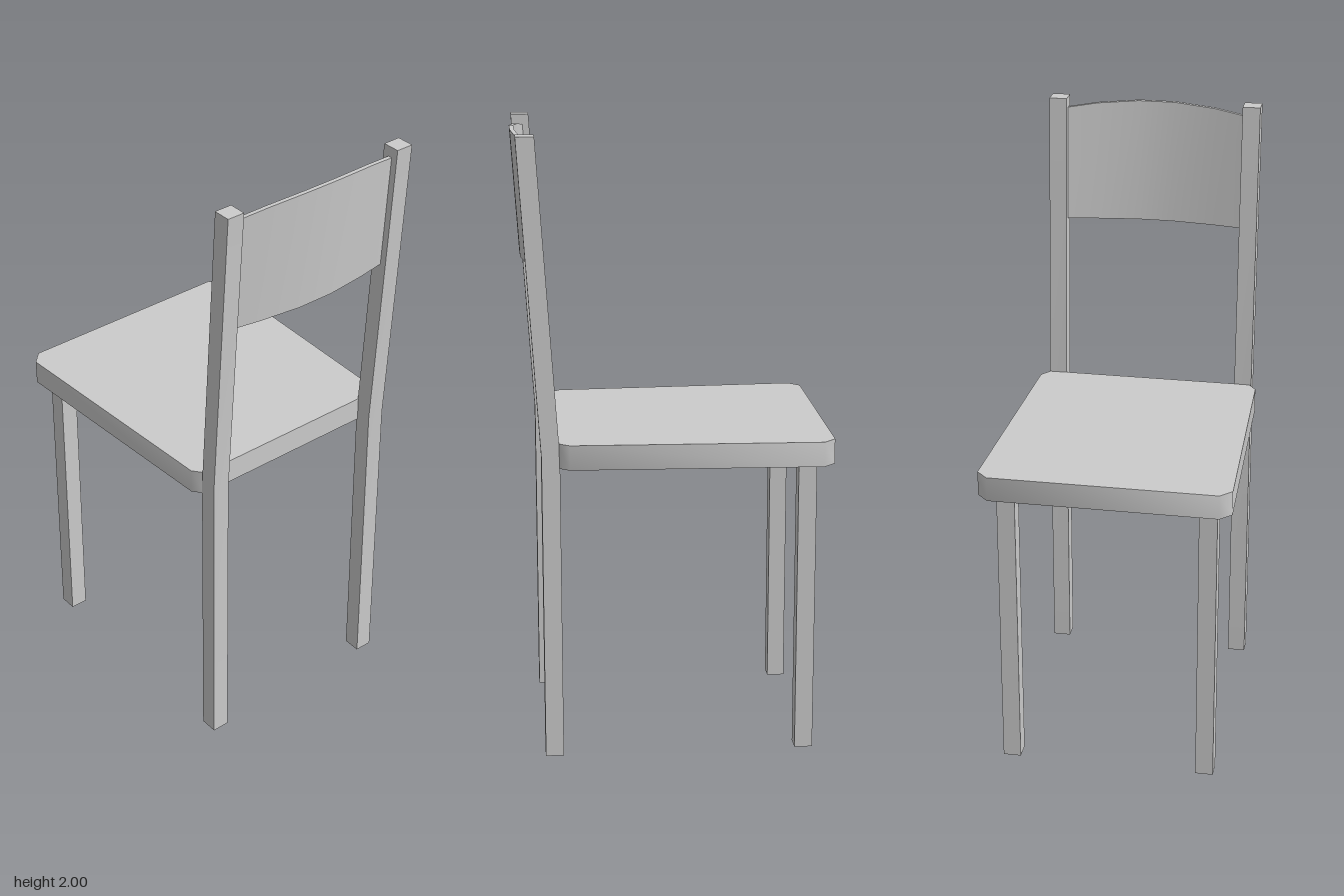
import * as THREE from 'three';
import { toCreasedNormals } from 'three/addons/utils/BufferGeometryUtils.js';

const material = new THREE.MeshStandardMaterial({ color: 0xcccccc });
const LEG = 0.058;
const SEAT_BOTTOM = 0.965, SEAT_TOP = 1.045;

// Centre line of the back posts: upright to y = 1, then leaning backwards
const backZ = (y) => 0.394 + 0.065 * Math.max(0, y - 1);

// Moves every vertex of a geometry by a rule
function reshape(geometry, rule) {
  const p = geometry.attributes.position;
  const v = new THREE.Vector3();
  for (let i = 0; i < p.count; i++) {
    rule(v.fromBufferAttribute(p, i));
    p.setXYZ(i, v.x, v.y, v.z);
  }
  return toCreasedNormals(geometry, Math.PI / 3.5);
}

export function createModel() {
  const group = new THREE.Group();
  const add = (name, geometry, x = 0, y = 0, z = 0) => {
    const mesh = new THREE.Mesh(geometry, material);
    mesh.name = name;
    mesh.position.set(x, y, z);
    group.add(mesh);
  };

  // Seat: tapered slab with cut corners
  const half = [[0.365, -0.5], [0.402, -0.462], [0.373, 0.335], [0.346, 0.37]];
  const outline = [...half, ...half.map(([x, z]) => [-x, z]).reverse()];
  const seat = new THREE.ExtrudeGeometry(
    new THREE.Shape(outline.map(([x, z]) => new THREE.Vector2(x, -z))),
    { depth: SEAT_TOP - SEAT_BOTTOM, bevelEnabled: false }
  );
  seat.rotateX(-Math.PI / 2);
  add('seat', toCreasedNormals(seat, Math.PI / 3.5), 0, SEAT_BOTTOM, 0);

  // Legs: short straight front ones, long back ones that carry on as leaning posts
  for (const [side, x] of [['left', 0.319], ['right', -0.325]]) {
    add(`${side}FrontLeg`, new THREE.BoxGeometry(LEG, SEAT_BOTTOM, LEG), x, SEAT_BOTTOM / 2, -0.418);
    const post = reshape(new THREE.BoxGeometry(LEG, 2, LEG, 1, 2, 1).translate(0, 1, 0), (v) => {
      v.z += backZ(v.y);
    });
    add(`${side}BackPost`, post, x);
  }

  // Backrest: thin panel bowed backwards, with a gently arched top edge
  const columns = [-0.296, -0.2, -0.063, 0.057, 0.194, 0.29];
  const bow = [0, 0.017, 0.033, 0.033, 0.017, 0];
  const topY = [1.966, 1.98, 1.99, 1.99, 1.98, 1.966];
  const backrest = reshape(new THREE.BoxGeometry(5, 1, 0.014, 5, 1, 1), (v) => {
    const i = Math.round(v.x + 2.5);
    v.x = columns[i];
    v.y = v.y > 0 ? topY[i] : 1.587;
    v.z += backZ(v.y) + bow[i];
  });
  add('backrest', backrest);

  return group;
}
